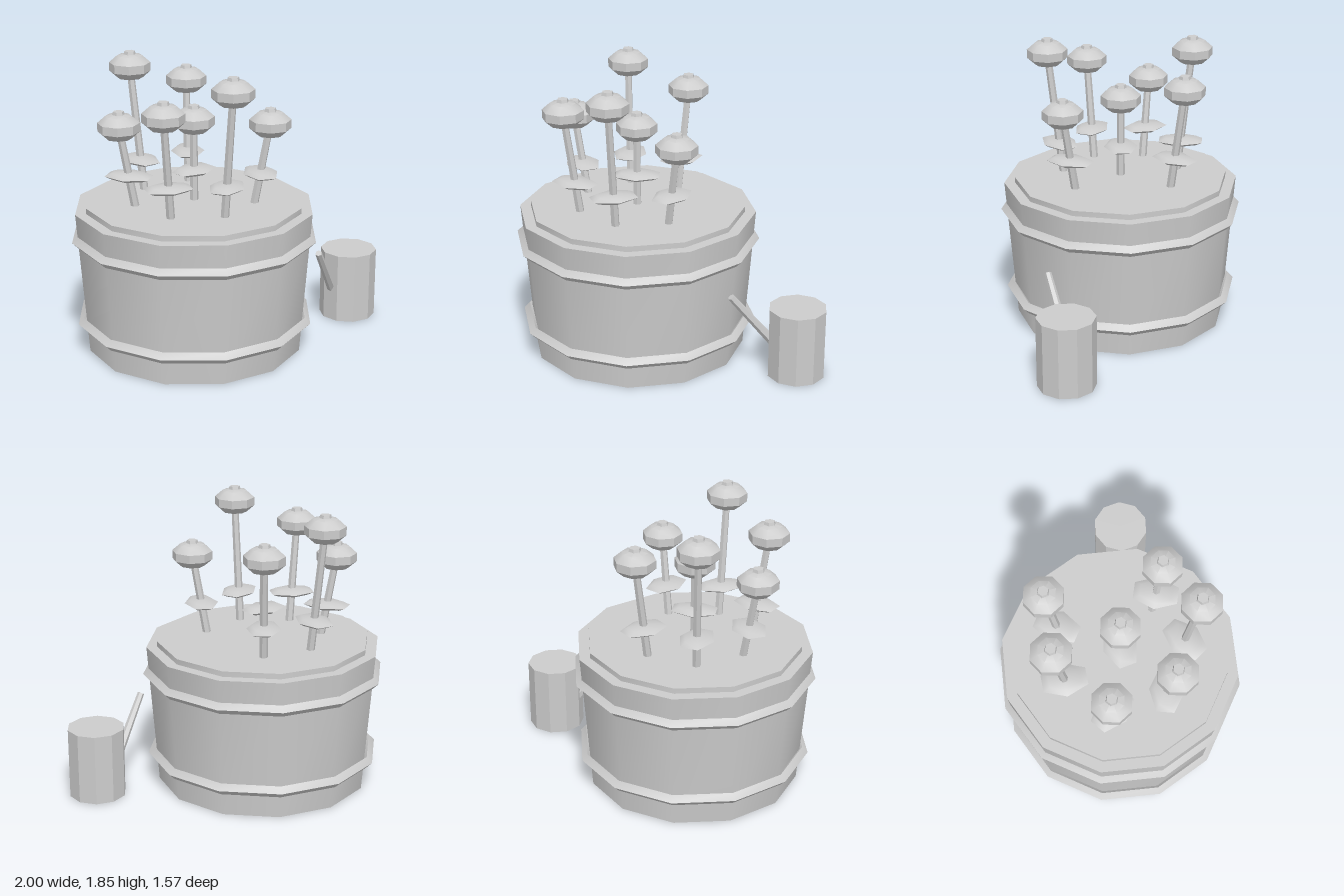
import * as THREE from 'three';
import { toCreasedNormals } from 'three/addons/utils/BufferGeometryUtils.js';

const CREASE = 0.6;
const UP = new THREE.Vector3(0, 1, 0);

export function createModel() {
  const model = new THREE.Group();
  model.name = 'flowerBarrel';
  const grey = new THREE.MeshStandardMaterial({ color: 0xcccccc });
  grey.name = 'light grey';

  const add = (parent, name, geometry, x = 0, y = 0, z = 0) => {
    const mesh = new THREE.Mesh(toCreasedNormals(geometry, CREASE), grey);
    mesh.name = name;
    mesh.position.set(x, y, z);
    parent.add(mesh);
    return mesh;
  };

  // tapered rod between two points
  const rod = (parent, name, from, to, rFrom, rTo) => {
    const dir = to.clone().sub(from);
    const mesh = add(parent, name, new THREE.CylinderGeometry(rTo, rFrom, dir.length(), 6));
    mesh.position.copy(from).addScaledVector(dir, 0.5);
    mesh.quaternion.setFromUnitVectors(UP, dir.normalize());
    return mesh;
  };

  // barrel, soil and hoops
  const barrel = new THREE.Group();
  barrel.name = 'barrel';
  barrel.position.x = -0.215;
  model.add(barrel);
  add(barrel, 'tub', new THREE.CylinderGeometry(0.76, 0.69, 0.925, 12), 0, 0.4625, 0);
  add(barrel, 'soil', new THREE.CylinderGeometry(0.69, 0.69, 0.06, 12), 0, 0.93, 0);
  for (const [name, y, r] of [['lowerHoop', 0.19, 0.723], ['upperHoop', 0.742, 0.748]]) {
    add(barrel, name, new THREE.TorusGeometry(r, 0.037, 4, 12).rotateX(Math.PI / 2), 0, y, 0);
  }

  // flowers: head x, head z (from the barrel axis), head height, leaf angle in degrees
  const flowers = [
    [0, 0, 1.475, 0],
    [-0.1, -0.47, 1.755, 100],
    [0.3, -0.375, 1.615, 133],
    [-0.425, -0.22, 1.475, 62],
    [-0.435, 0.19, 1.615, 26],
    [-0.125, 0.46, 1.755, -25],
    [0.28, 0.385, 1.475, -61],
  ];
  for (const [x, z, y, angle] of flowers) {
    const flower = new THREE.Group();
    flower.name = 'flower';
    barrel.add(flower);
    const base = new THREE.Vector3(x * 0.8, 0.95, z * 0.8);
    const top = new THREE.Vector3(x, y, z);
    rod(flower, 'stem', base, top, 0.027, 0.023);

    // lens-shaped six-sided leaf around the stem
    const leafAt = base.clone().lerp(top, (1.155 - base.y) / (y - base.y));
    const leaf = new THREE.SphereGeometry(1, 6, 4).rotateY(Math.PI / 6).scale(0.162, 0.028, 0.11);
    add(flower, 'leaf', leaf, leafAt.x, leafAt.y, leafAt.z)
      .rotation.y = -THREE.MathUtils.degToRad(angle);

    // flattened bloom with a small button on top
    add(flower, 'bloom', new THREE.SphereGeometry(1, 8, 5).scale(0.137, 0.087, 0.137), x, y, z);
    add(flower, 'bloomCentre', new THREE.CylinderGeometry(0.034, 0.044, 0.035, 6), x, y + 0.081, z);
  }

  // watering can with its spout
  const can = new THREE.Group();
  can.name = 'wateringCan';
  model.add(can);
  add(can, 'canBody', new THREE.CylinderGeometry(0.184, 0.184, 0.46, 10), 0.825, 0.23, 0.413);
  rod(can, 'spout', new THREE.Vector3(0.69, 0.19, 0.395), new THREE.Vector3(0.41, 0.56, 0.505), 0.03, 0.022);

  return model;
}
